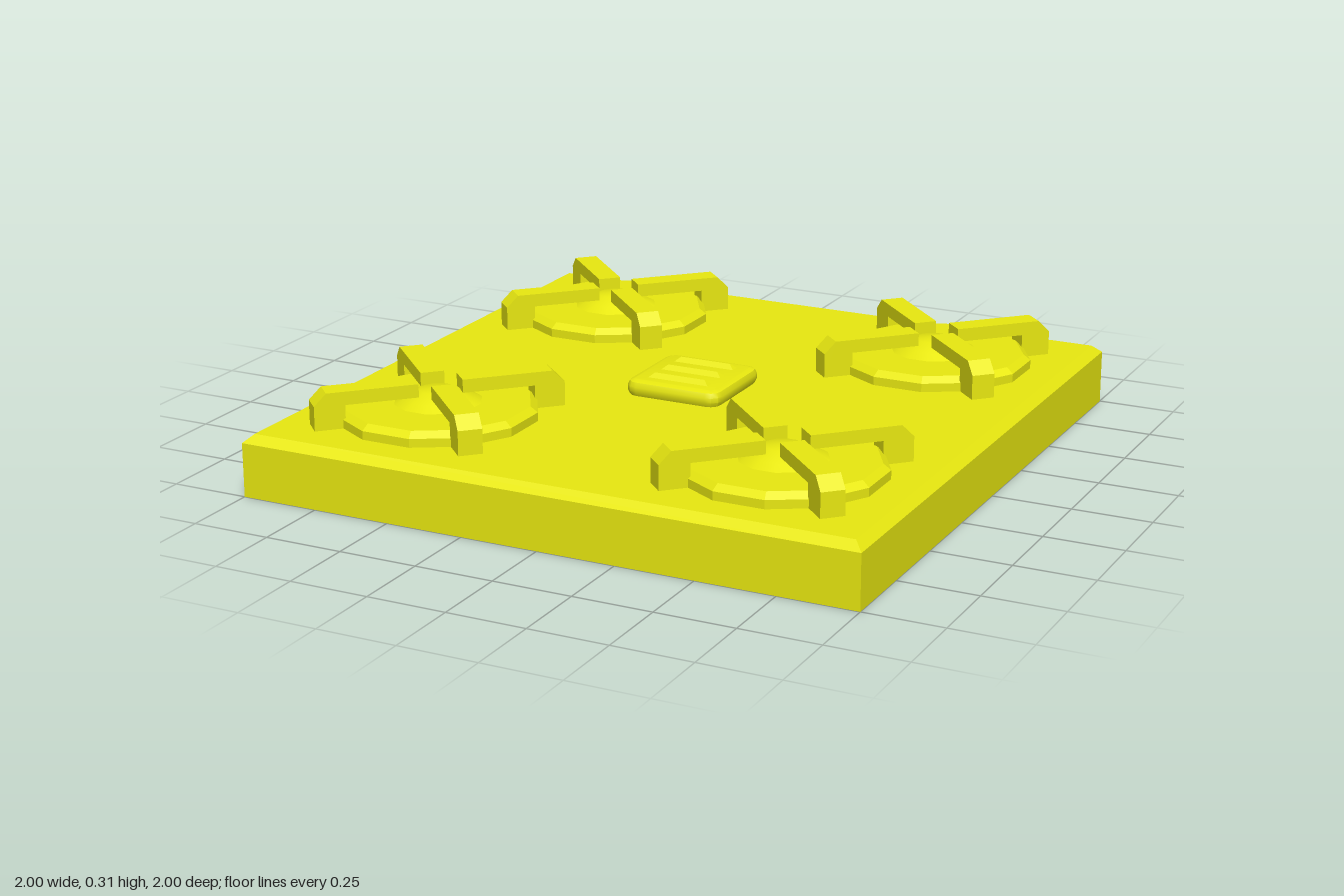
import * as THREE from 'three';
import { toCreasedNormals } from 'three/addons/utils/BufferGeometryUtils.js';

const TOP = 0.195; // height of the hob surface

export function createModel() {
  const flat = new THREE.MeshStandardMaterial({ color: 0xe8e810, flatShading: true });
  const smooth = new THREE.MeshStandardMaterial({ color: 0xe8e810 });
  const model = new THREE.Group();
  model.name = 'stoveTop';

  const add = (parent, name, geometry, material = flat) => {
    const mesh = new THREE.Mesh(geometry, material);
    mesh.name = name;
    parent.add(mesh);
    return mesh;
  };

  // Solid of revolution with flat sides facing the axes
  const turned = (sides, profile) => new THREE.LatheGeometry(
    profile.map(([r, y]) => new THREE.Vector2(r / Math.cos(Math.PI / sides), y)),
    sides, Math.PI / sides);

  // Square slab with a bevelled top edge
  add(model, 'base', turned(4, [[0, 0], [1, 0], [1, 0.17], [0.972, TOP], [0, TOP]]));

  // Pan support: bent bar, drawn as radius against height
  const armShape = new THREE.Shape([
    [0.068, 0.268], [0.293, 0.268], [0.293, TOP - 0.005], [0.388, TOP - 0.005],
    [0.388, 0.272], [0.35, 0.31], [0.068, 0.31],
  ].map(([r, y]) => new THREE.Vector2(r, y)));
  const armGeometry = new THREE.ExtrudeGeometry(armShape, { depth: 0.074, bevelEnabled: false });
  armGeometry.translate(0, 0, -0.037);

  const plateGeometry = turned(12, [[0.3, TOP - 0.005], [0.3, 0.222], [0.278, 0.24], [0, 0.24]]);
  const capGeometry = toCreasedNormals(
    turned(12, [[0.135, 0.238], [0.1, 0.256], [0.055, 0.277], [0, 0.281]]), 0.7);

  // Four burners, each with a plate, a domed cap and four diagonal arms
  for (const x of [-0.575, 0.575]) {
    for (const z of [-0.575, 0.575]) {
      const burner = new THREE.Group();
      burner.name = 'burner';
      burner.position.set(x, 0, z);
      add(burner, 'burnerPlate', plateGeometry);
      add(burner, 'burnerCap', capGeometry, smooth);
      for (let i = 0; i < 4; i++) {
        add(burner, 'supportArm', armGeometry).rotation.y = Math.PI / 4 + i * Math.PI / 2;
      }
      model.add(burner);
    }
  }

  // Central pad: rounded square with bevelled edges
  const h = 0.138, r = 0.022;
  const padShape = new THREE.Shape();
  padShape.moveTo(-h + r, -h);
  padShape.lineTo(h - r, -h);
  padShape.quadraticCurveTo(h, -h, h, -h + r);
  padShape.lineTo(h, h - r);
  padShape.quadraticCurveTo(h, h, h - r, h);
  padShape.lineTo(-h + r, h);
  padShape.quadraticCurveTo(-h, h, -h, h - r);
  padShape.lineTo(-h, -h + r);
  padShape.quadraticCurveTo(-h, -h, -h + r, -h);
  const padGeometry = new THREE.ExtrudeGeometry(padShape, {
    depth: 0.015, bevelThickness: 0.02, bevelSize: 0.022, bevelSegments: 2, curveSegments: 3,
  });
  padGeometry.rotateX(-Math.PI / 2);
  padGeometry.translate(0, TOP + 0.015, 0);
  add(model, 'centrePad', toCreasedNormals(padGeometry, 0.7), smooth);

  // Three hipped ridges across the pad
  const ridgeGeometry = new THREE.BoxGeometry(0.214, 0.018, 0.038);
  const p = ridgeGeometry.attributes.position;
  for (let i = 0; i < p.count; i++) {
    if (p.getY(i) > 0) p.setXYZ(i, Math.sign(p.getX(i)) * 0.085, p.getY(i), 0);
  }
  for (const z of [-0.09, 0, 0.09]) {
    add(model, 'padRidge', ridgeGeometry).position.set(0, 0.25, z);
  }

  return model;
}
